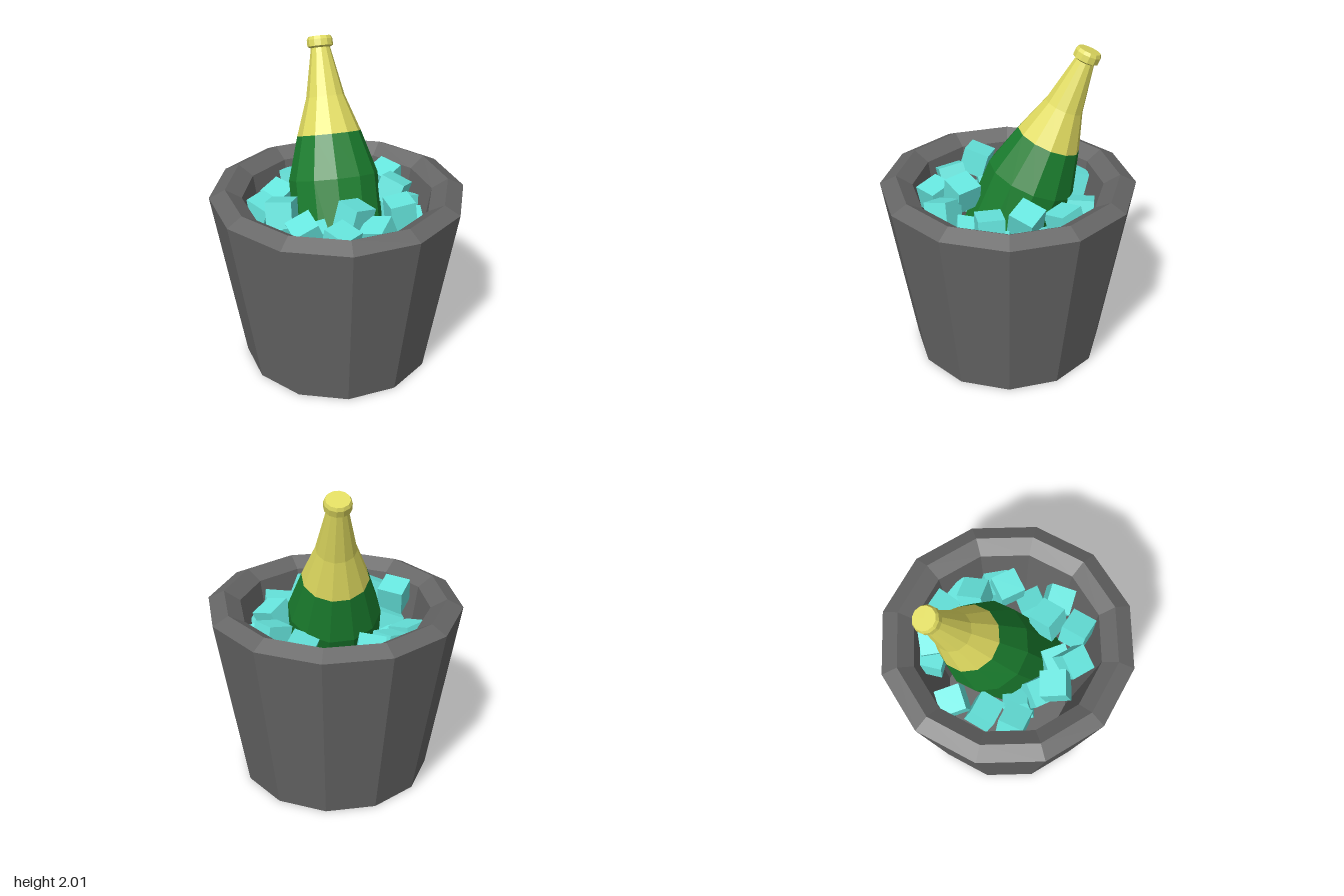
import * as THREE from 'three';

const flat = (color) => new THREE.MeshStandardMaterial({ color, flatShading: true });

function lathe(name, profile, material) {
  const points = profile.map(([r, y]) => new THREE.Vector2(r, y));
  const mesh = new THREE.Mesh(new THREE.LatheGeometry(points, 12), material);
  mesh.name = name;
  return mesh;
}

export function createModel() {
  const model = new THREE.Group();
  model.name = 'bottleInIceBucket';

  // Bucket: outer wall, bevelled rim, inner wall and floor
  model.add(lathe('bucket', [
    [0, 0], [0.6, 0], [0.79, 1.14], [0.69, 1.19], [0.59, 1.13], [0.42, 0.1], [0, 0.1],
  ], flat(0x666666)));

  // Bottle: leans back to one side, with y = 0 at its mouth
  const bottle = new THREE.Group();
  bottle.name = 'bottle';
  bottle.add(lathe('glassBody', [
    [0, -1.68], [0.25, -1.68], [0.28, -1.64], [0.28, -0.87], [0.2, -0.6],
  ], flat(0x1a7d2e)));
  bottle.add(lathe('foilNeck', [
    [0.2, -0.6], [0.12, -0.37], [0.06, -0.07],
    [0.08, -0.06], [0.08, -0.02], [0.07, 0], [0, 0],
  ], flat(0xe0db60)));
  bottle.position.set(-0.29, 1.98, -0.38);
  bottle.quaternion.setFromUnitVectors(
    new THREE.Vector3(0, 1, 0), new THREE.Vector3(-0.24, 0.92, -0.3).normalize());
  model.add(bottle);

  // Ice cubes: x, y, z of the centre and turn about y
  const ice = new THREE.Group();
  ice.name = 'iceCubes';
  const cubes = [
    [-0.08, 1.03, -0.46, 0.4], [0.13, 1.06, -0.46, -0.3], [0.26, 1.08, -0.27, 0],
    [0.38, 1.04, -0.09, 0.7], [0.37, 1.04, 0.24, 0], [0.2, 1.11, 0.21, -0.4],
    [0.2, 1.04, 0.4, -0.3], [-0.02, 1.06, 0.42, 0.8], [-0.21, 1.12, 0.35, 0.2],
    [-0.45, 0.98, 0.15, -0.2], [-0.43, 0.99, -0.04, -0.25], [-0.42, 1.02, -0.24, 0.5],
    [-0.15, 0.9, -0.45, 0], [0.06, 0.9, -0.46, 0.5], [0.3, 0.94, -0.34, -0.5],
    [0.17, 0.9, -0.36, 0.1], [0.41, 0.92, -0.17, 0.5], [0.34, 0.92, 0.09, 0.6],
    [0, 0.96, 0.31, 0.6], [-0.22, 0.96, 0.25, 0.7], [-0.29, 0.88, 0.14, 0.3],
  ];
  const cubeGeometry = new THREE.BoxGeometry(0.16, 0.16, 0.16);
  const iceMaterial = flat(0x66e6de);
  cubes.forEach(([x, y, z, turn], i) => {
    const cube = new THREE.Mesh(cubeGeometry, iceMaterial);
    cube.name = `iceCube${i + 1}`;
    cube.position.set(x, y, z);
    cube.rotation.set(0.3 * Math.sin(i * 2.1), turn, 0.3 * Math.cos(i * 1.7));
    ice.add(cube);
  });
  model.add(ice);

  return model;
}
